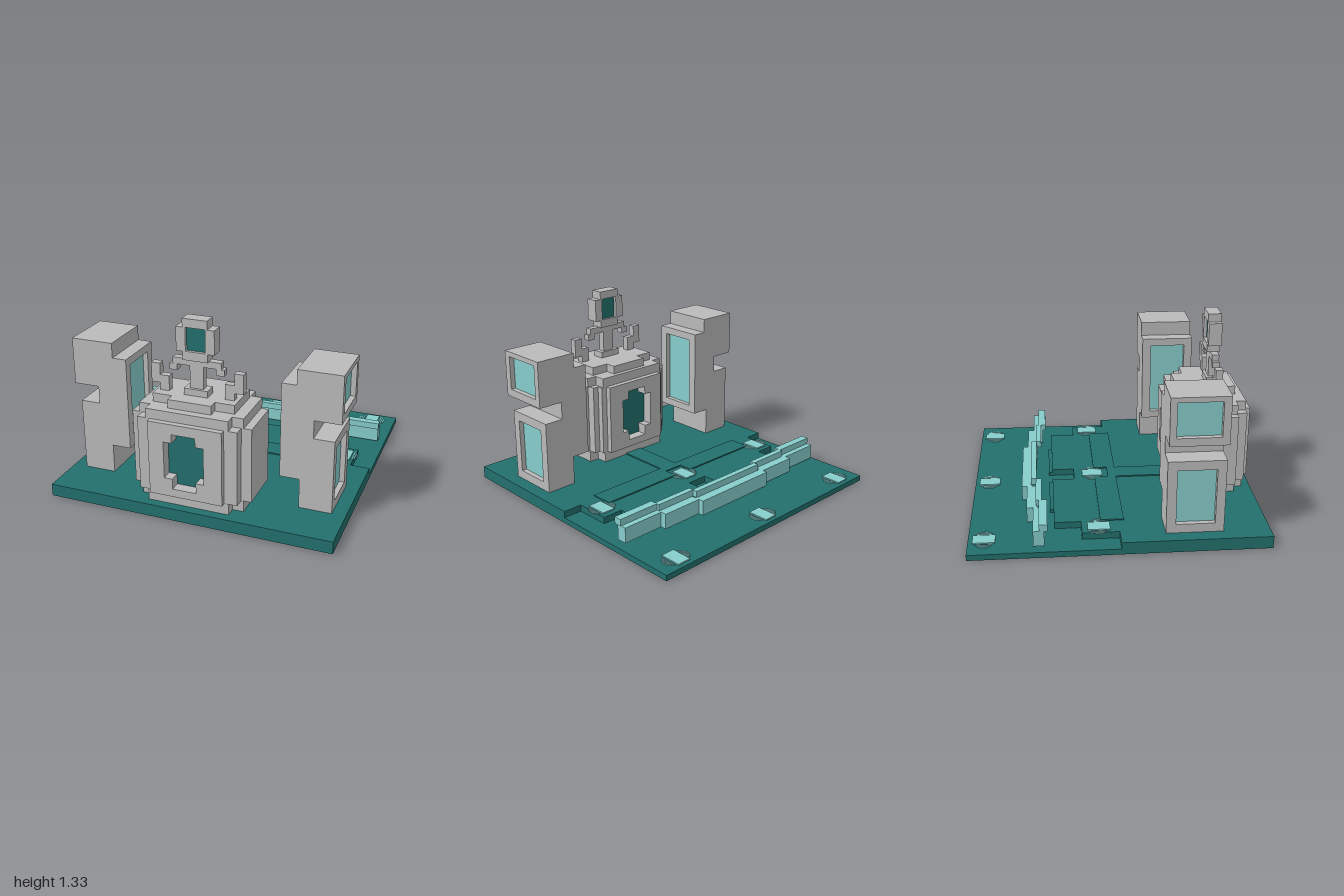
import * as THREE from 'three';

const mat = (name, color) => {
  const m = new THREE.MeshStandardMaterial({ color });
  m.name = name;
  return m;
};

export function createModel() {
  const root = new THREE.Group();
  root.name = 'courtyard';
  const ground = mat('deep teal', 0x22706d);
  const stone = mat('stone grey', 0xbababa);
  const light = mat('pale aqua', 0x86cdcb);

  const add = (parent, name, geometry, material) => {
    const mesh = new THREE.Mesh(geometry, material);
    mesh.name = name;
    parent.add(mesh);
    return mesh;
  };
  const group = (name) => {
    const g = new THREE.Group();
    g.name = name;
    root.add(g);
    return g;
  };
  const box = (parent, name, material, x0, x1, y0, y1, z0, z1) => {
    const g = new THREE.BoxGeometry(x1 - x0, y1 - y0, z1 - z0);
    g.translate((x0 + x1) / 2, (y0 + y1) / 2, (z0 + z1) / 2);
    return add(parent, name, g, material);
  };
  const toShape = (pts) => new THREE.Shape(pts.map(([x, y]) => new THREE.Vector2(x, y)));
  // Outline in x, y extruded from z0 to z1
  const prism = (parent, name, material, pts, z0, z1, hole) => {
    const s = toShape(pts);
    if (hole) s.holes.push(toShape(hole));
    const g = new THREE.ExtrudeGeometry(s, { depth: z1 - z0, bevelEnabled: false });
    return add(parent, name, g.translate(0, 0, z0), material);
  };
  // Half plan in x, z mirrored across x = 0 and raised from y0 to y1
  const slab = (parent, name, material, half, y0, y1) => {
    const pts = [...half, ...half.slice().reverse().map(([x, z]) => [-x, z])].map(([x, z]) => [x, -z]);
    const g = new THREE.ExtrudeGeometry(toShape(pts), { depth: y1 - y0, bevelEnabled: false });
    return add(parent, name, g.rotateX(-Math.PI / 2).translate(0, y0, 0), material);
  };
  const rect = (x0, x1, y0, y1) => [[x0, y0], [x1, y0], [x1, y1], [x0, y1]];

  // Ground, raised terrace and path
  const base = group('ground');
  box(base, 'lowerGround', ground, -1, 1, 0, 0.04, -1, 1);
  slab(base, 'terrace', ground,
    [[1, 1], [1, 0], [0.86, 0], [0.86, -0.25], [0.71, -0.25], [0.71, -0.43], [0.08, -0.43], [0.08, -0.27]], 0.04, 0.087);
  for (const s of [-1, 1]) {
    const [a, b] = s > 0 ? [0.08, 0.49] : [-0.49, -0.08];
    box(base, 'terraceStep', ground, a, b, 0.04, 0.065, -0.455, -0.43);
  }
  slab(base, 'path', ground,
    [[0.075, 0.45], [0.075, 0.04], [0.71, 0.04], [0.71, -0.12], [0.075, -0.12], [0.075, -0.02]], 0.087, 0.096);

  // Floor lamps with tapering fins at both sides
  const lamps = group('floorLamps');
  for (const [xs, z, y] of [[[-0.785, 0, 0.785], -0.135, 0.087], [[-0.82, 0, 0.82], -0.895, 0.04]]) {
    for (const x of xs) {
      box(lamps, 'lampPlate', light, x - 0.05, x + 0.05, y, y + 0.009, z - 0.075, z + 0.075);
      for (const s of [-1, 1]) {
        [0.055, 0.043, 0.027].forEach((h, i) => {
          const c = x + s * (0.066 + i * 0.014);
          box(lamps, 'lampFin', light, c - 0.004, c + 0.004, y, y + 0.005, z - h, z + h);
        });
      }
    }
  }

  // Stepped screen wall hovering over the lower ground
  const wall = group('screenWall');
  const edges = [-0.955, -0.64, -0.33, 0.33, 0.64, 0.95];
  const capEdges = [-0.955, -0.62, -0.305, 0.325, 0.64, 0.955];
  [0, 1, 2, 1, 0].forEach((k, i) => {
    const back = [-0.57, -0.613, -0.65][k];
    box(wall, 'wallPanel', light, edges[i], edges[i + 1], 0.06, 0.168, back, back + 0.073);
    const capBack = [-0.53, -0.55, -0.585][k];
    const capFront = [-0.475, -0.51, -0.545][k];
    box(wall, 'wallCap', light, capEdges[i], capEdges[i + 1], 0.168, 0.215, capBack, capFront);
  });

  // Side towers, sliced in depth so that the windows are recessed
  const D = 0.04;
  const notch = (on, x, dx, y0, y1) => on ? [[x, y0], [x + dx, y0], [x + dx, y1], [x, y1]] : [];
  for (const s of [-1, 1]) {
    const tower = group(s > 0 ? 'leftTower' : 'rightTower');
    const slices = [[0.30, 0.345, 0, 0], [0.345, 0.365, 1, 0], [0.365, 0.625, 1, 1], [0.625, 0.635, 1, 0], [0.635, 0.685, 0, 0]];
    for (const [z0, z1, up, low] of slices) {
      const pts = [
        [0.68, 0.087], [0.905, 0.087], ...notch(low, 0.905, -D, 0.15, 0.54),
        [0.905, 0.605], [0.765, 0.605], [0.765, 0.73], [0.945, 0.73],
        ...notch(up, 0.945, -D, 0.785, 1.025), [0.945, 1.06], [0.645, 1.06],
        [0.645, 0.955], [0.545, 0.955], ...notch(low, 0.545, D, 0.35, 0.9).reverse(),
        [0.545, 0.295], [0.68, 0.295],
      ].map(([x, y]) => [s * x, y]);
      prism(tower, 'towerSlice', stone, pts, z0, z1);
    }
    const pane = (x, y0, y1, z0, z1) =>
      box(tower, 'windowPane', light, s * x - 0.004, s * x + 0.004, y0, y1, z0, z1);
    pane(0.905 - D, 0.15, 0.54, 0.365, 0.625);
    pane(0.945 - D, 0.785, 1.025, 0.345, 0.635);
    pane(0.545 + D, 0.35, 0.9, 0.365, 0.625);
  }

  // Round stepped hall with recessed windows front and back
  const hall = group('hall');
  const C = 0.6825;
  const cross = [
    [-0.09, 0.222], [0.075, 0.222], [0.075, 0.295], [0.13, 0.295], [0.13, 0.555], [0.075, 0.555],
    [0.075, 0.617], [-0.09, 0.617], [-0.09, 0.555], [-0.147, 0.555], [-0.147, 0.295], [-0.09, 0.295],
  ];
  box(hall, 'hallCore', stone, -0.345, 0.345, 0.165, 0.687, C - 0.21, C + 0.21);
  box(hall, 'hallSides', stone, -0.415, 0.415, 0.165, 0.687, C - 0.147, C + 0.18);
  for (const s of [-1, 1]) {
    const layer = (w, d0, d1) =>
      prism(hall, 'windowWall', stone, rect(-w, w, 0.165, 0.687), Math.min(C + s * d0, C + s * d1), Math.max(C + s * d0, C + s * d1), cross);
    layer(s > 0 ? 0.345 : 0.3, 0.21, 0.2525);
    layer(0.255, 0.2525, 0.2925);
    const z = C + s * 0.213;
    prism(hall, 'hallWindow', ground, cross, z - 0.004, z + 0.004);
  }
  for (const [y0, y1] of [[0.087, 0.165], [0.687, 0.755]]) {
    box(hall, 'hallBand', stone, -0.362, 0.362, y0, y1, 0.515, 0.865);
    box(hall, 'hallBand', stone, -0.285, 0.285, y0, y1, 0.43, 0.937);
  }
  box(hall, 'roofTier', stone, -0.285, 0.285, 0.755, 0.815, 0.545, 0.82);
  box(hall, 'roofTier', stone, -0.15, 0.15, 0.755, 0.815, 0.465, 0.885);

  // Roof ornament: pedestal, column, curved arms and framed head
  const orn = group('roofOrnament');
  box(orn, 'pedestal', stone, -0.083, 0.083, 0.815, 0.86, 0.685, 0.775);
  box(orn, 'column', stone, -0.047, 0.047, 0.86, 1.055, 0.705, 0.755);
  box(orn, 'crossbar', stone, -0.165, 0.17, 1.013, 1.058, 0.705, 0.755);
  for (const s of [-1, 1]) {
    const part = (name, a, b, y0, y1) =>
      box(orn, name, stone, Math.min(s * a, s * b), Math.max(s * a, s * b), y0, y1, 0.705, 0.755);
    part('armTip', 0.135, 0.19, 0.97, 1.013);
    part('hornOuter', 0.258, 0.32, 0.865, 1.0);
    part('hornInner', 0.195, 0.258, 0.815, 0.92);
  }
  const head = [[-0.085, 1.055], [0.085, 1.055], [0.085, 1.112], [0.133, 1.112], [0.133, 1.275], [0.085, 1.275],
    [0.085, 1.333], [-0.085, 1.333], [-0.085, 1.275], [-0.13, 1.275], [-0.13, 1.112], [-0.085, 1.112]];
  const opening = rect(-0.065, 0.07, 1.115, 1.275);
  prism(orn, 'headFrame', stone, head, 0.682, 0.775, opening);
  prism(orn, 'headPanel', ground, opening, 0.705, 0.752);

  // Mirrored outlines wind the other way, which the extruder corrects by itself
  return root;
}
